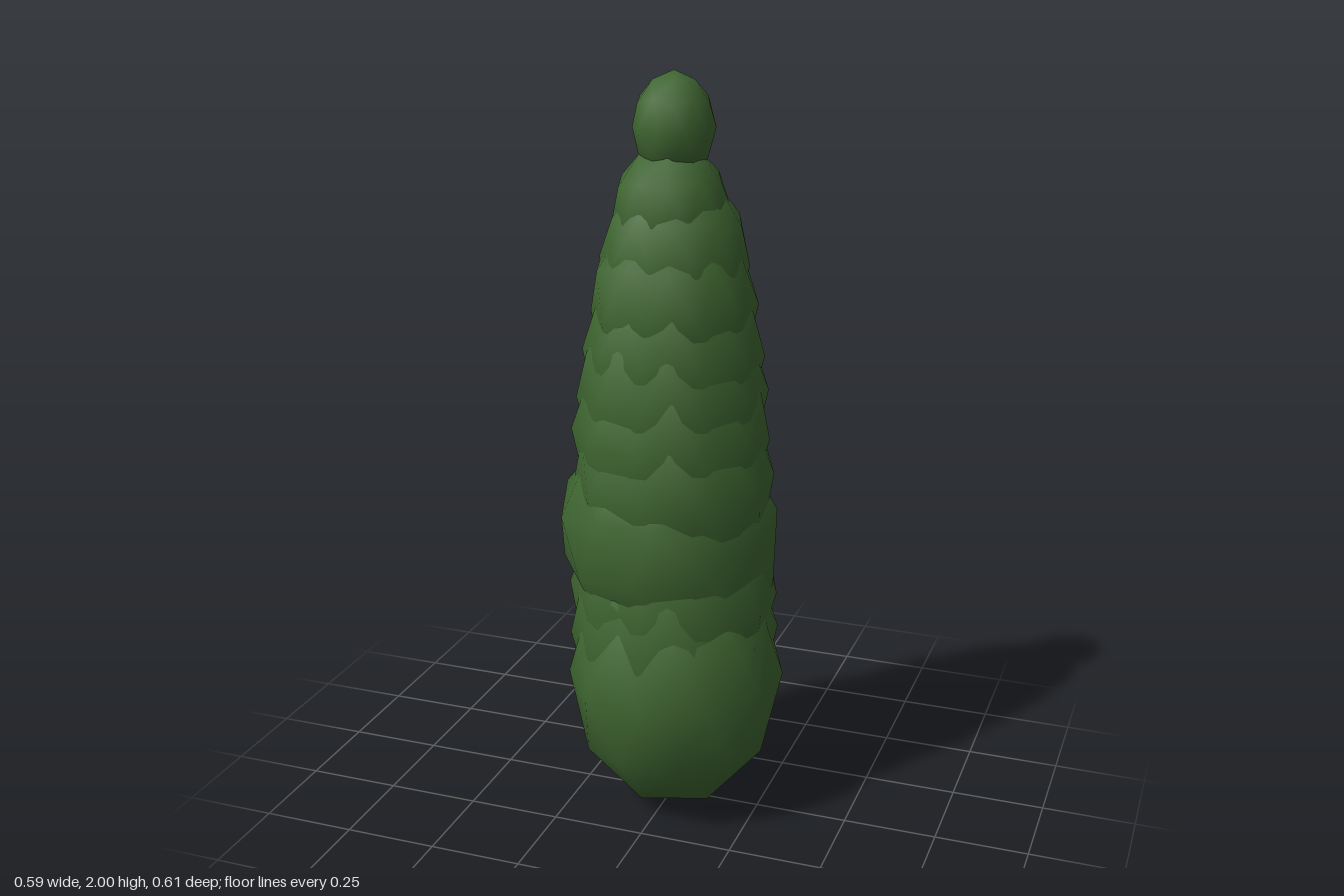
import * as THREE from 'three';
import { mergeVertices } from 'three/addons/utils/BufferGeometryUtils.js';

// small seeded generator, values in -1..1
function seeded(seed) {
  let s = seed;
  return () => {
    s = (s * 16807) % 2147483647;
    return (s / 2147483647) * 2 - 1;
  };
}

// low-poly ball standing on a pole vertex, slightly uneven, with smooth normals
function leafClump(radius, height, uneven, rand) {
  let geo = new THREE.IcosahedronGeometry(1, 1);
  geo.deleteAttribute('normal');
  geo.deleteAttribute('uv');
  geo = mergeVertices(geo, 1e-3);
  geo.rotateZ(-Math.atan(2 / (1 + Math.sqrt(5))));
  const p = geo.attributes.position;
  for (let i = 0; i < p.count; i++) {
    const k = 1 + uneven * rand();
    p.setXYZ(i, p.getX(i) * radius * k, p.getY(i) * height, p.getZ(i) * radius * k);
  }
  geo.computeVertexNormals();
  return geo;
}

export function createModel() {
  const tree = new THREE.Group();
  tree.name = 'cypressTree';
  const foliage = new THREE.MeshStandardMaterial({ color: 0x3f6631 });
  foliage.name = 'foliageGreen';
  const rand = seeded(4217);

  // x, y, z of the centre, radius, half height, tilt
  const layers = [
    [0.017, 0.38, 0.02, 0.29, 0.38, 0],
    [0.005, 0.5, 0.005, 0.278, 0.36, 0.04],
    [0.005, 0.62, -0.005, 0.28, 0.36, -0.04],
    [-0.012, 0.775, -0.012, 0.296, 0.34, 0.2],
    [0.005, 0.94, 0, 0.268, 0.33, 0.03],
    [0, 1.06, 0.005, 0.26, 0.32, -0.04],
    [0, 1.17, 0, 0.25, 0.31, 0.04],
    [0, 1.28, -0.003, 0.238, 0.29, -0.03],
    [0.005, 1.4, 0, 0.216, 0.27, 0.04],
    [0.005, 1.52, -0.005, 0.192, 0.24, -0.05],
    [0, 1.64, 0, 0.15, 0.19, 0.04],
  ];
  layers.forEach(([x, y, z, r, h, tilt], i) => {
    const mesh = new THREE.Mesh(leafClump(r, h, i % 3 === 0 ? 0.01 : 0.025, rand), foliage);
    mesh.name = `foliageLayer${i + 1}`;
    mesh.position.set(x, y, z);
    mesh.rotation.set(tilt, 0, tilt);
    tree.add(mesh);
  });

  // round tip
  const tip = new THREE.Mesh(leafClump(0.105, 0.14, 0.015, rand), foliage);
  tip.name = 'treeTip';
  tip.position.set(0.003, 1.86, -0.003);
  tree.add(tip);

  return tree;
}
